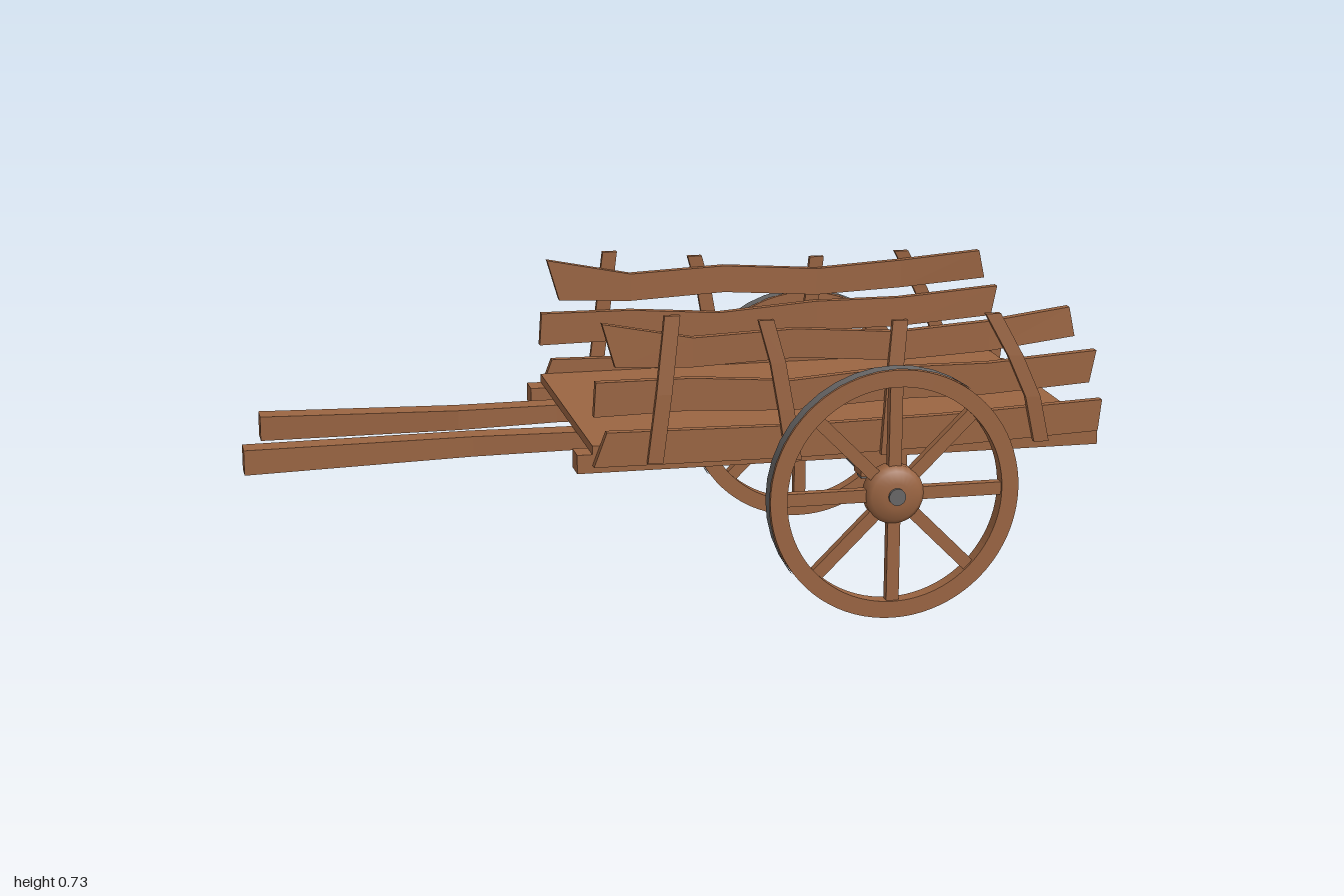
import * as THREE from 'three';

const wood = new THREE.MeshStandardMaterial({ color: 0x9b6542 });
wood.name = 'wood';
const iron = new THREE.MeshStandardMaterial({ color: 0x686767 });
iron.name = 'iron';

// Flat-shaded solid through four-cornered cross-sections
function loft(sections) {
  const pos = [];
  const quad = (a, b, c, d) => pos.push(...a, ...b, ...c, ...a, ...c, ...d);
  for (let i = 0; i < sections.length - 1; i++) {
    const s = sections[i], t = sections[i + 1];
    for (let j = 0; j < 4; j++) {
      const k = (j + 1) % 4;
      quad(s[j], t[j], t[k], s[k]);
    }
  }
  const [a, b, c, d] = sections[0];
  quad(a, b, c, d);
  const [e, f, g, h] = sections[sections.length - 1];
  quad(h, g, f, e);
  const geo = new THREE.BufferGeometry();
  geo.setAttribute('position', new THREE.Float32BufferAttribute(pos, 3));
  geo.computeVertexNormals();
  return geo;
}

// Mirror sections across z = 0, keeping faces outward
const sided = (sections, side) => side > 0 ? sections
  : sections.map(s => s.map(([x, y, z]) => [x, y, -z]).reverse());

// Lengthwise board: rows of [xTop, yTop, xBottom, yBottom, z]
const boardSections = (rows, w) => rows.map(([xt, yt, xb, yb, z]) => [
  [xt, yt, z + w / 2], [xt, yt, z - w / 2], [xb, yb, z - w / 2], [xb, yb, z + w / 2]]);

// Upright stake: rows of [y, x, z]
const stakeSections = (rows, w, d) => rows.map(([y, x, z]) => [
  [x - w / 2, y, z - d / 2], [x + w / 2, y, z - d / 2],
  [x + w / 2, y, z + d / 2], [x - w / 2, y, z + d / 2]]);

function add(parent, name, geo, mat, x = 0, y = 0, z = 0) {
  const mesh = new THREE.Mesh(geo, mat);
  mesh.name = name;
  mesh.position.set(x, y, z);
  parent.add(mesh);
  return mesh;
}

const planks = {
  topPlank: [[-0.21, 0.717, -0.18, 0.615, 0.356], [0, 0.675, 0, 0.607, 0.352],
    [0.24, 0.685, 0.24, 0.618, 0.354], [0.48, 0.667, 0.48, 0.6, 0.356],
    [0.7, 0.68, 0.7, 0.61, 0.352], [0.9, 0.7, 0.915, 0.63, 0.332]],
  middlePlank: [[-0.225, 0.583, -0.23, 0.503, 0.357], [0, 0.582, 0, 0.507, 0.355],
    [0.23, 0.565, 0.23, 0.495, 0.356], [0.48, 0.583, 0.48, 0.508, 0.355],
    [0.7, 0.582, 0.7, 0.508, 0.357], [0.96, 0.6, 0.945, 0.524, 0.36]],
  bottomPlank: [[-0.2, 0.465, -0.23, 0.385, 0.356], [0.25, 0.458, 0.25, 0.382, 0.355],
    [0.6, 0.463, 0.6, 0.388, 0.354], [0.98, 0.48, 0.972, 0.405, 0.357]],
};
const stakes = [
  [[0.39, -0.09, 0.371], [0.55, -0.07, 0.372], [0.73, -0.05, 0.364]],
  [[0.38, 0.235, 0.371], [0.5, 0.215, 0.373], [0.61, 0.195, 0.37], [0.71, 0.167, 0.366]],
  [[0.38, 0.46, 0.371], [0.55, 0.47, 0.373], [0.695, 0.483, 0.366]],
  [[0.39, 0.83, 0.371], [0.5, 0.805, 0.374], [0.6, 0.76, 0.372], [0.7, 0.705, 0.366]],
];

function createWheel(side) {
  const wheel = new THREE.Group();
  wheel.name = side > 0 ? 'frontWheel' : 'backWheel';

  // Wooden rim with an iron tyre around it
  const ring = new THREE.Shape().absarc(0, 0, 0.296, 0, Math.PI * 2, false);
  ring.holes.push(new THREE.Path().absarc(0, 0, 0.256, 0, Math.PI * 2, true));
  const rim = new THREE.ExtrudeGeometry(ring, { depth: 0.036, bevelEnabled: false, curveSegments: 40 });
  add(wheel, 'rim', rim.translate(0, 0, -0.018), wood);
  const tyre = new THREE.CylinderGeometry(0.299, 0.299, 0.037, 40, 1, true);
  add(wheel, 'tyre', tyre.rotateX(Math.PI / 2), iron);

  // Rounded hub
  const profile = [[0, -0.028], [0.058, -0.028], [0.07, -0.018], [0.07, 0.01], [0.058, 0.022], [0.03, 0.029], [0, 0.029]]
    .map(([r, y]) => new THREE.Vector2(r, y));
  add(wheel, 'hub', new THREE.LatheGeometry(profile, 24).rotateX(side * Math.PI / 2), wood);

  // Eight spokes
  for (let i = 0; i < 8; i++) {
    const spoke = new THREE.BoxGeometry(0.03, 0.22, 0.022).translate(0, 0.155, 0);
    add(wheel, 'spoke', spoke, wood).rotation.z = i * Math.PI / 4;
  }
  wheel.position.set(0.46, 0.299, side * 0.421);
  return wheel;
}

export function createModel() {
  const cart = new THREE.Group();
  cart.name = 'handcart';

  add(cart, 'bed', new THREE.BoxGeometry(1.175, 0.021, 0.69), wood, 0.358, 0.42, 0);

  // Handles, slightly crooked and running under the bed
  const handle = rows => loft(boardSections(rows, 0.056));
  add(cart, 'frontHandle', handle([[-1, 0.406, -1, 0.347, 0.104], [-0.47, 0.408, -0.47, 0.36, 0.098],
    [-0.23, 0.409, -0.23, 0.366, 0.112], [0.08, 0.409, 0.08, 0.366, 0.134]]), wood);
  add(cart, 'backHandle', handle([[-0.94, 0.406, -0.94, 0.347, -0.19], [-0.47, 0.408, -0.47, 0.36, -0.143],
    [-0.23, 0.409, -0.23, 0.366, -0.143], [0.08, 0.409, 0.08, 0.366, -0.13]]), wood);

  const axle = new THREE.CylinderGeometry(0.02, 0.02, 0.914, 20).rotateX(Math.PI / 2);
  add(cart, 'axle', axle, iron, 0.46, 0.299, 0);

  for (const side of [1, -1]) {
    const half = new THREE.Group();
    half.name = side > 0 ? 'frontSide' : 'backSide';
    cart.add(half);

    // Bed beam, axle block and iron strap
    add(half, 'beam', new THREE.BoxGeometry(1.245, 0.044, 0.06), wood, 0.358, 0.388, side * 0.313);
    add(half, 'axleBlock', new THREE.BoxGeometry(0.11, 0.05, 0.06), wood, 0.46, 0.344, side * 0.313);
    const strap = new THREE.CylinderGeometry(0.028, 0.028, 0.028, 16).rotateX(Math.PI / 2);
    add(half, 'axleStrap', strap, iron, 0.46, 0.299, side * 0.31);
    add(half, 'strapPlate', new THREE.BoxGeometry(0.1, 0.01, 0.034), iron, 0.46, 0.315, side * 0.31);

    // Warped planks nailed to bent stakes
    for (const [name, rows] of Object.entries(planks)) {
      add(half, name, loft(sided(boardSections(rows, 0.02), side)), wood);
    }
    for (const rows of stakes) {
      add(half, 'stake', loft(sided(stakeSections(rows, 0.036, 0.014), side)), wood);
    }
    cart.add(createWheel(side));
  }
  return cart;
}
